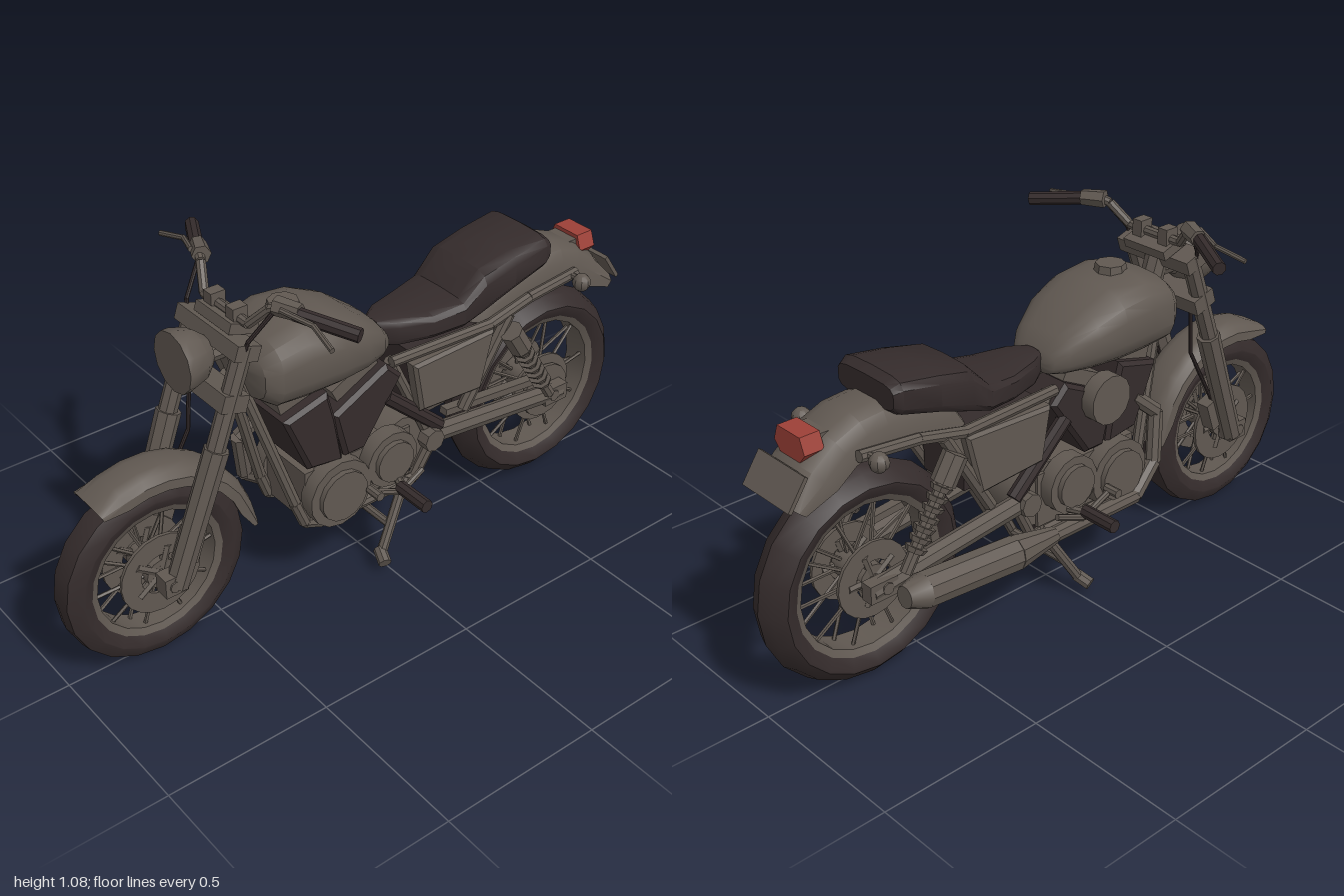
import * as THREE from 'three';
import { toCreasedNormals } from 'three/addons/utils/BufferGeometryUtils.js';

const mat = (name, color, side = THREE.FrontSide) => {
  const m = new THREE.MeshStandardMaterial({ color, side });
  m.name = name;
  return m;
};
const V = (p) => new THREE.Vector3(...p);
const flat = (pts) => pts.map((p) => new THREE.Vector2(...p));

export function createModel() {
  const metal = mat('warm grey metal', 0x605851);
  const dark = mat('dark rubber', 0x342b2b);
  const red = mat('tail light red', 0x9c4037);
  const sheet = mat('grey sheet', 0x605851, THREE.DoubleSide);
  const lining = mat('dark lining', 0x342b2b, THREE.DoubleSide);
  const model = new THREE.Group();
  model.name = 'motorcycle';

  const add = (name, geo, m, pos = [0, 0, 0], rotZ = 0, parent = model) => {
    const mesh = new THREE.Mesh(toCreasedNormals(geo, 0.6), m);
    mesh.name = name;
    mesh.position.set(...pos);
    mesh.rotation.z = rotZ;
    parent.add(mesh);
    return mesh;
  };
  const box = (name, size, pos, m = metal, rotZ = 0) =>
    add(name, new THREE.BoxGeometry(...size), m, pos, rotZ);
  // Disc with its axis across the bike
  const disc = (name, r, width, pos, m = metal, sides = 14, parent = model) =>
    add(name, new THREE.CylinderGeometry(r, r, width, sides).rotateX(Math.PI / 2), m, pos, 0, parent);
  // Tapered bar between two points
  const rod = (name, a, b, r, m = metal, r2 = r, sides = 8, parent = model) => {
    const from = V(a), d = V(b).sub(from);
    const mesh = add(name, new THREE.CylinderGeometry(r2, r, d.length(), sides), m, [0, 0, 0], 0, parent);
    mesh.position.copy(from).addScaledVector(d, 0.5);
    mesh.quaternion.setFromUnitVectors(new THREE.Vector3(0, 1, 0), d.normalize());
  };
  const pipe = (name, pts, r, m = metal) => {
    for (let i = 1; i < pts.length; i++) rod(name, pts[i - 1], pts[i], r, m);
  };
  // Side outline extruded between two depths, with a small bevel
  const slab = (name, pts, z0, z1, m, bevel = 0.01) => add(name, new THREE.ExtrudeGeometry(new THREE.Shape(flat(pts)),
    { depth: z1 - z0 - 2 * bevel, bevelThickness: bevel, bevelSize: bevel, bevelOffset: -bevel, bevelSegments: 1 }),
  m, [0, 0, z0 + bevel]);
  const both = (fn) => [1, -1].forEach(fn);

  const meshFrom = (pos, idx) => {
    const g = new THREE.BufferGeometry();
    g.setAttribute('position', new THREE.Float32BufferAttribute(pos, 3));
    g.setIndex(idx);
    return g;
  };
  // Rounded body from sections [x, bottom, top, half width]
  const loft = (secs, power, n = 14) => {
    const pos = [], idx = [], bend = (v) => Math.sign(v) * Math.abs(v) ** power;
    for (const [x, y0, y1, w] of secs) for (let j = 0; j < n; j++) {
      const a = ((j + 0.5) / n) * Math.PI * 2;
      pos.push(x, (y0 + y1) / 2 + ((y1 - y0) / 2) * bend(Math.sin(a)), w * bend(Math.cos(a)));
    }
    const last = (secs.length - 1) * n;
    for (let i = 0; i < last; i += n) for (let j = 0; j < n; j++) {
      const k = (j + 1) % n;
      idx.push(i + j, i + n + j, i + k, i + n + j, i + n + k, i + k);
    }
    for (let j = 1; j < n - 1; j++) idx.push(0, j, j + 1, last, last + j + 1, last + j);
    return meshFrom(pos, idx);
  };
  // Arched mudguard sheet swept along a side path, shallower at its ends
  const guard = (path, w, drop, inset) => {
    const shape = [[-1, 1], [-0.97, 0.5], [-0.76, 0.16], [-0.4, 0], [0.4, 0], [0.76, 0.16], [0.97, 0.5], [1, 1]];
    const pos = [], idx = [], n = shape.length, end = path.length - 1;
    path.forEach(([x, y], i) => {
      const a = path[Math.max(i - 1, 0)], b = path[Math.min(i + 1, end)];
      const dx = b[0] - a[0], dy = b[1] - a[1], l = Math.hypot(dx, dy);
      const depth = (i === 0 || i === end ? 0.45 : 1) * drop;
      for (const [z, d] of shape) {
        const q = inset + d * (depth - inset);
        pos.push(x + (dy / l) * q, y - (dx / l) * q, z * (w - inset));
      }
      if (i) for (let j = 0; j < n - 1; j++) {
        const p = (i - 1) * n + j;
        idx.push(p, p + 1, p + n, p + 1, p + n + 1, p + n);
      }
    });
    return meshFrom(pos, idx);
  };
  const mudguard = (name, path, w, drop) => {
    add(name, guard(path, w, drop, 0), sheet);
    add(name + 'Lining', guard(path, w, drop, 0.007), lining);
  };

  // Wheels
  const wheel = (name, x, R, w, ri, discR, crown) => {
    const g = new THREE.Group();
    g.name = name;
    g.position.set(x, R, 0);
    model.add(g);
    const ring = (part, pts, m) => add(part, new THREE.LatheGeometry(
      flat([...pts, pts[0]]), 20).rotateX(Math.PI / 2), m, [0, 0, 0], 0, g);
    ring('tyre', [[ri, -w * 0.75], [ri + 0.03, -w], [R - 0.045, -w], [R - crown, -w * 0.6], [R, 0],
      [R - crown, w * 0.6], [R - 0.045, w], [ri + 0.03, w], [ri, w * 0.75]], dark);
    ring('rim', [[ri - 0.02, -w * 0.6], [ri + 0.004, -w * 0.78], [ri + 0.004, w * 0.78], [ri - 0.02, w * 0.6]], metal);
    disc('hub', 0.045, w * 1.9, [0, 0, 0], metal, 12, g);
    disc('axle', 0.018, 0.26, [0, 0, 0], metal, 8, g);
    both((s) => {
      const z = s * w * 0.85;
      ring('brakeDisc', [[discR * 0.5, z - 0.005], [discR, z - 0.005], [discR, z + 0.005], [discR * 0.5, z + 0.005]], metal);
      for (let i = 0; i < 5; i++) {
        const a = (i / 5) * Math.PI * 2;
        rod('discArm', [0, 0, z], [discR * 0.7 * Math.cos(a), discR * 0.7 * Math.sin(a), z], 0.012, metal, 0.012, 6, g);
      }
      for (let i = 0; i < 10; i++) {
        const a = ((i + s * 0.14) / 10) * Math.PI * 2, c = Math.cos(a), t = Math.sin(a);
        rod('spoke', [0.03 * c, 0.03 * t, s * w * 0.55], [(ri - 0.01) * c, (ri - 0.01) * t, s * w * 0.25],
          0.006, metal, 0.006, 5, g);
      }
    });
  };
  wheel('frontWheel', -0.715, 0.285, 0.058, 0.207, 0.125, 0.006);
  wheel('rearWheel', 0.68, 0.322, 0.07, 0.238, 0.115, 0.014);

  // Mudguards
  const arc = [];
  for (let d = 121; d >= 4; d -= 13) {
    const a = (d * Math.PI) / 180;
    arc.push([-0.72 + 0.325 * Math.cos(a), 0.295 + 0.325 * Math.sin(a)]);
  }
  mudguard('frontMudguard', arc, 0.075, 0.055);
  mudguard('rearMudguard', [[0.31, 0.5], [0.33, 0.65], [0.4, 0.76], [0.51, 0.81], [0.63, 0.828], [0.71, 0.822],
    [0.79, 0.79], [0.87, 0.73], [0.935, 0.65]], 0.105, 0.1);

  // Tank, cap and seat
  add('fuelTank', loft([[-0.415, 0.77, 0.84, 0.07], [-0.4, 0.725, 0.87, 0.125], [-0.36, 0.695, 0.905, 0.155],
    [-0.27, 0.69, 0.93, 0.165], [-0.16, 0.69, 0.917, 0.165], [-0.07, 0.695, 0.875, 0.15], [0.01, 0.7, 0.815, 0.115],
    [0.045, 0.705, 0.775, 0.085], [0.055, 0.72, 0.75, 0.06]], 0.7, 18), metal);
  add('tankCap', new THREE.CylinderGeometry(0.044, 0.048, 0.025, 8), metal, [-0.25, 0.932, 0]);
  add('seat', loft([[0.05, 0.695, 0.775, 0.035], [0.1, 0.69, 0.78, 0.07], [0.2, 0.69, 0.777, 0.102],
    [0.3, 0.695, 0.79, 0.12], [0.37, 0.715, 0.862, 0.127], [0.48, 0.755, 0.885, 0.13], [0.6, 0.79, 0.902, 0.128],
    [0.625, 0.81, 0.885, 0.117]], 0.5, 14), dark);

  // Headlamp
  add('headlamp', new THREE.LatheGeometry(flat([[0, -0.11], [0.045, -0.1], [0.075, -0.065], [0.088, -0.02], [0.088, 0],
    [0, 0]]), 12).rotateZ(Math.PI / 2), metal, [-0.6, 0.885, 0]);
  rod('headlampBracket', [-0.53, 0.87, 0], [-0.45, 0.87, 0], 0.025);

  // Steering, forks and handlebar
  rod('steeringHead', [-0.45, 0.93, 0], [-0.37, 0.7, 0], 0.035);
  box('upperClamp', [0.075, 0.045, 0.28], [-0.46, 0.925, 0], metal, -0.33);
  box('lowerClamp', [0.08, 0.05, 0.28], [-0.505, 0.79, 0], metal, -0.33);
  box('instrumentPanel', [0.09, 0.03, 0.16], [-0.43, 0.96, 0], metal, -0.33);
  rod('handlebarCentre', [-0.43, 0.985, -0.1], [-0.43, 0.985, 0.1], 0.014);
  both((s) => {
    rod('forkTube', [-0.455, 0.94, s * 0.115], [-0.58, 0.6, s * 0.115], 0.027);
    rod('forkLeg', [-0.555, 0.66, s * 0.115], [-0.7, 0.27, s * 0.105], 0.036, metal, 0.033);
    box('axleClamp', [0.07, 0.06, 0.05], [-0.71, 0.285, s * 0.1]);
    box('brakeCaliper', [0.06, 0.1, 0.045], [-0.635, 0.36, s * 0.075], metal, -0.35);
    box('handlebarRiser', [0.045, 0.065, 0.035], [-0.43, 0.985, s * 0.05]);
    pipe('handlebar', [[-0.43, 0.985, s * 0.1], [-0.4, 1.045, s * 0.155], [-0.38, 1.06, s * 0.2]], 0.014);
    rod('grip', [-0.37, 1.049, s * 0.22], [-0.285, 1.027, s * 0.375], 0.02, dark);
    rod('switchBlock', [-0.39, 1.055, s * 0.165], [-0.36, 1.052, s * 0.23], 0.027, metal, 0.024, 6);
    pipe('lever', [[-0.4, 1.06, s * 0.2], [-0.365, 1.045, s * 0.29], [-0.38, 1.025, s * 0.385]], 0.008);
    pipe('cable', [[-0.4, 1.04, s * 0.17], [-0.46, 0.96, s * 0.14], [-0.5, 0.75, s * 0.09],
      [-0.52, 0.6, s * 0.08], [-0.63, 0.4, s * 0.08]], 0.006, dark);
  });

  // Frame
  rod('backbone', [-0.42, 0.8, 0], [0.3, 0.67, 0], 0.03);
  both((s) => {
    pipe('cradleTube', [[-0.42, 0.77, s * 0.03], [-0.29, 0.34, s * 0.085], [-0.26, 0.26, s * 0.09],
      [-0.2, 0.235, s * 0.09], [0.14, 0.235, s * 0.09], [0.2, 0.35, s * 0.1], [0.06, 0.67, s * 0.07]], 0.018);
    pipe('seatTube', [[0.05, 0.675, s * 0.09], [0.4, 0.68, s * 0.115], [0.55, 0.715, s * 0.115], [0.74, 0.735, s * 0.115]], 0.017);
    rod('rearStay', [0.47, 0.69, s * 0.115], [0.31, 0.42, s * 0.11], 0.02);
    rod('crossStay', [0.02, 0.58, s * 0.1], [0.22, 0.4, s * 0.105], 0.023, dark);
    // Side panel
    slab('sidePanel', [[0.1, 0.66], [0.13, 0.495], [0.36, 0.48], [0.405, 0.67]],
      s > 0 ? 0.085 : -0.135, s > 0 ? 0.135 : -0.085, metal);
    // Swingarm and rear shock
    rod('swingarm', [0.18, 0.375, s * 0.1], [0.72, 0.315, s * 0.1], 0.03);
    disc('swingarmPivot', 0.036, 0.04, [0.18, 0.375, s * 0.12], metal, 8);
    box('axleBlock', [0.09, 0.055, 0.04], [0.69, 0.32, s * 0.105]);
    const top = [0.455, 0.65, s * 0.145], foot = [0.635, 0.36, s * 0.145];
    const at = (t) => top.map((v, i) => v + (foot[i] - v) * t);
    rod('shockCover', top, at(0.25), 0.036);
    rod('shockRod', at(0.2), foot, 0.018);
    for (let i = 0; i < 7; i++) rod('springCoil', at(0.27 + i * 0.085), at(0.315 + i * 0.085), 0.032, metal, 0.026);
    // Foot controls
    rod('footPeg', [0.015, 0.31, s * 0.18], [0.015, 0.31, s * 0.3], 0.02, dark);
    rod('pegMount', [0.06, 0.31, s * 0.09], [0.015, 0.31, s * 0.19], 0.013);
    pipe('footPedal', [[0.11, 0.32, s * 0.165], [0.02, 0.29, s * 0.18], [-0.09, 0.34, s * 0.18]], 0.01);
    rod('pedalPad', [-0.085, 0.34, s * 0.165], [-0.085, 0.34, s * 0.215], 0.014);
    // Stand
    rod('standLeg', [0.11, 0.25, s * 0.09], [-0.01, 0.05, s * 0.13], 0.016);
    rod('standFoot', [-0.01, 0.055, s * 0.12], [-0.025, 0.035, s * 0.165], 0.02);
    // Indicators
    rod('indicatorArm', [0.715, 0.735, s * 0.1], [0.715, 0.735, s * 0.15], 0.01);
    add('indicator', new THREE.SphereGeometry(0.028, 8, 6), metal, [0.715, 0.73, s * 0.165]);
  });
  rod('standBar', [0.035, 0.12, -0.115], [0.035, 0.12, 0.115], 0.013);
  box('batteryBox', [0.26, 0.2, 0.17], [0.25, 0.58, 0], dark);

  // Engine
  box('crankcase', [0.38, 0.17, 0.19], [-0.07, 0.345, 0]);
  box('sump', [0.3, 0.05, 0.15], [-0.06, 0.245, 0], dark);
  disc('rearCase', 0.1, 0.17, [0.1, 0.36, 0], metal, 12);
  both((s) => {
    disc('clutchCover', 0.108, 0.05, [-0.165, 0.345, s * 0.115]);
    disc('clutchCap', 0.08, 0.02, [-0.165, 0.345, s * 0.147]);
    disc('generatorCover', 0.09, 0.05, [0.02, 0.38, s * 0.115]);
    disc('generatorCap', 0.065, 0.02, [0.02, 0.38, s * 0.147]);
  });
  slab('frontCylinder', [[-0.34, 0.645], [-0.26, 0.455], [-0.14, 0.44], [-0.165, 0.59], [-0.19, 0.685]], -0.11, 0.12, dark, 0.012);
  slab('rearCylinder', [[-0.17, 0.595], [-0.13, 0.44], [-0.06, 0.44], [0.075, 0.635], [0.02, 0.69]], -0.11, 0.115, dark, 0.012);
  box('frontRockerCover', [0.13, 0.05, 0.16], [-0.265, 0.675, 0], metal, 0.26);
  box('rearRockerCover', [0.16, 0.05, 0.16], [-0.07, 0.665, 0], metal, 0.46);
  disc('airCleaner', 0.075, 0.05, [-0.11, 0.61, -0.13], metal, 14);

  // Exhaust on the right side
  pipe('exhaustPipe', [[-0.26, 0.55, -0.09], [-0.34, 0.48, -0.11], [-0.31, 0.33, -0.135], [-0.22, 0.255, -0.15],
    [0.16, 0.265, -0.16]], 0.024);
  rod('mufflerCone', [0.12, 0.264, -0.16], [0.28, 0.276, -0.168], 0.026, metal, 0.052, 10);
  rod('muffler', [0.28, 0.276, -0.168], [0.6, 0.3, -0.168], 0.052, metal, 0.052, 10);
  rod('mufflerTip', [0.6, 0.3, -0.168], [0.66, 0.305, -0.168], 0.052, metal, 0.032, 10);
  // Drive guard on the left side
  box('chainGuard', [0.4, 0.022, 0.03], [0.45, 0.405, 0.09], metal, -0.1);
  disc('drivenSprocket', 0.09, 0.012, [0.68, 0.32, 0.08], metal, 16);

  // Tail light and number plate
  const lamp = new THREE.Shape(flat([[-0.065, -0.01], [-0.042, -0.037], [0.042, -0.037], [0.065, -0.01], [0.048, 0.035],
    [-0.048, 0.035]]));
  add('tailLight', new THREE.ExtrudeGeometry(lamp, { depth: 0.06, bevelEnabled: false }).rotateY(Math.PI / 2), red, [0.805, 0.772, 0]);
  box('tailLightBase', [0.04, 0.06, 0.09], [0.79, 0.765, 0]);
  box('numberPlate', [0.012, 0.1, 0.2], [0.915, 0.685, 0], metal, 0.6);
  return model;
}
